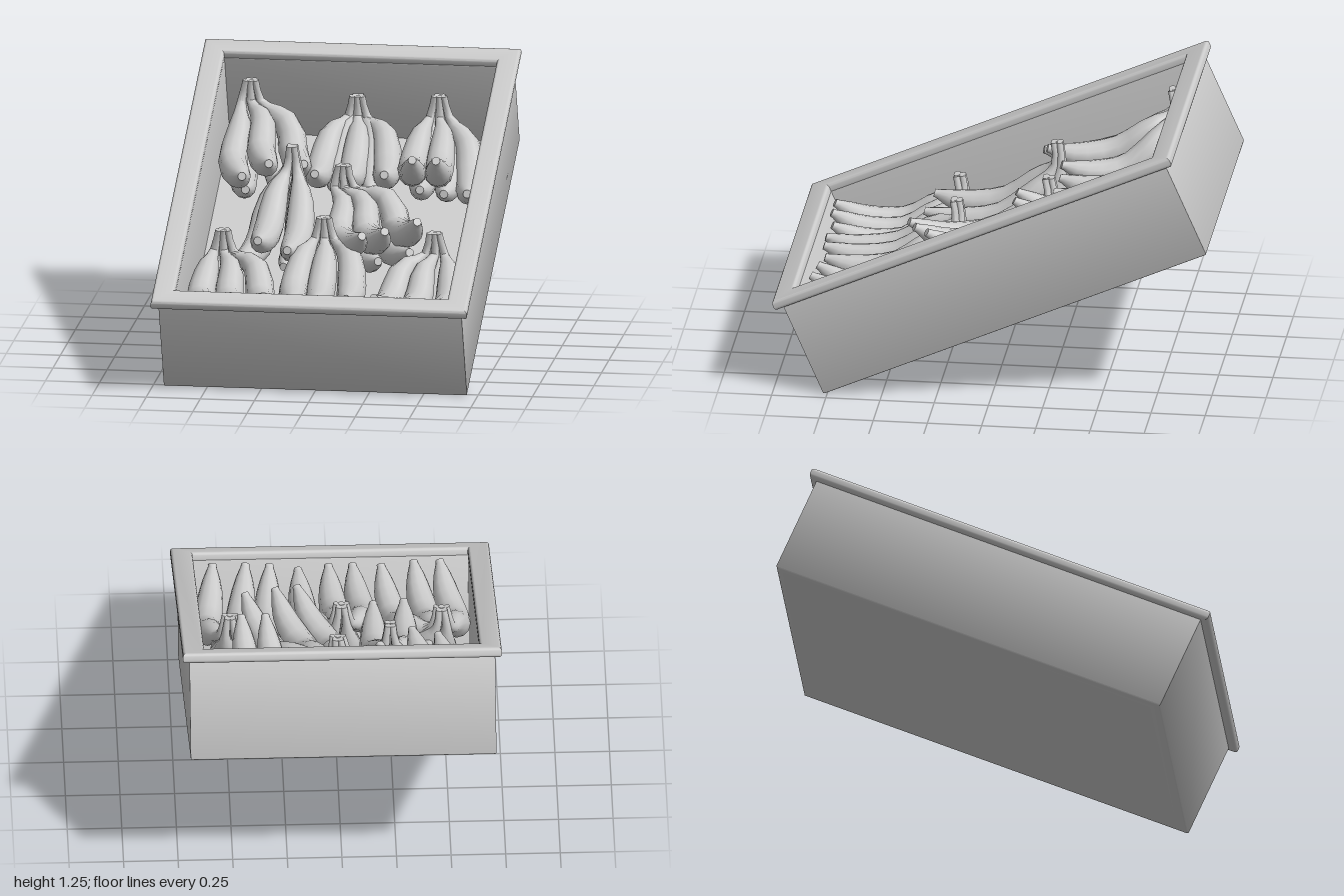
import * as THREE from 'three';
import { toCreasedNormals } from 'three/addons/utils/BufferGeometryUtils.js';

const grey = new THREE.MeshStandardMaterial({ color: 0xcccccc });
const { lerp } = THREE.MathUtils;

// Rectangular ring with softened edges, standing from y0 to y1
function frame(name, halfX, halfZ, y0, y1, bevel) {
  const rect = (Cls, x, z) => new Cls([[-x, -z], [x, -z], [x, z], [-x, z]].map(p => new THREE.Vector2(...p)));
  const shape = rect(THREE.Shape, halfX, halfZ);
  shape.holes.push(rect(THREE.Path, 0.63, 0.9));
  const geo = new THREE.ExtrudeGeometry(shape, {
    depth: y1 - y0 - 2 * bevel, bevelThickness: bevel, bevelSize: bevel, bevelOffset: -bevel, bevelSegments: 4,
  });
  geo.rotateX(-Math.PI / 2).translate(0, y0 + bevel, 0);
  const mesh = new THREE.Mesh(toCreasedNormals(geo, 0.6), grey);
  mesh.name = name;
  return mesh;
}

// [position along the fruit, radius], from cut stem to blunt tip
const PROFILE = [
  [0, 0], [0, 0.015], [0.06, 0.016], [0.13, 0.02], [0.19, 0.03], [0.26, 0.046], [0.34, 0.058],
  [0.44, 0.065], [0.55, 0.067], [0.66, 0.066], [0.76, 0.061], [0.84, 0.053], [0.91, 0.04],
  [0.96, 0.027], [0.98, 0.021], [1, 0.019], [1, 0],
];
const SIDES = 12;

// Loft of round sections along a curve that runs mostly in the y-z plane
function bananaGeometry(curve) {
  const pos = [], index = [], X = new THREE.Vector3(1, 0, 0);
  PROFILE.forEach(([t, r], i) => {
    const c = curve.getPointAt(t), T = curve.getTangentAt(t);
    const N = new THREE.Vector3().crossVectors(T, X).normalize();
    const B = new THREE.Vector3().crossVectors(T, N);
    for (let j = 0; j < SIDES; j++) {
      const a = j / SIDES * Math.PI * 2;
      const p = c.clone().addScaledVector(N, r * Math.cos(a)).addScaledVector(B, r * Math.sin(a));
      pos.push(p.x, p.y, p.z);
      if (i === 0) continue;
      const k = (j + 1) % SIDES, lo = (i - 1) * SIDES, hi = i * SIDES;
      if (i > 1) index.push(lo + j, lo + k, hi + j);
      if (i < PROFILE.length - 1) index.push(lo + k, hi + k, hi + j);
    }
  });
  const geo = new THREE.BufferGeometry();
  geo.setAttribute('position', new THREE.Float32BufferAttribute(pos, 3));
  geo.setIndex(index);
  return toCreasedNormals(geo, 0.9);
}

// One fruit: drops from the stem, lies on its belly and curls up to the tip
function banana(stem, tip, fan, low) {
  const [sx, sy, sz] = stem, [tx, ty, tz] = tip;
  const mid = (sx + fan * 0.14 + tx) / 2;
  const belly = low ? 0.125 : Math.max(0.15, Math.min(sy, ty) - 0.15);
  const back = low ? -0.025 : 0;
  const at = (x, y, t) => new THREE.Vector3(x, y, lerp(sz + back, tz, t));
  const curve = new THREE.CatmullRomCurve3([
    at(sx + fan * 0.022, sy - (low ? 0.01 : 0), 0),
    at(sx + fan * 0.045, sy - 0.1, 0.05),
    at(lerp(sx, mid, 0.8), lerp(belly, sy, 0.25), 0.23),
    at(mid, belly, 0.53),
    at(lerp(mid, tx, 0.6), lerp(belly, ty, 0.4), 0.82),
    at(tx, ty, 1),
  ]);
  const mesh = new THREE.Mesh(bananaGeometry(curve), grey);
  mesh.name = low ? 'lowerBanana' : 'upperBanana';
  return mesh;
}

// Stem point, three upper tips, two lower tips, in crate space
const BUNCHES = [
  { stem: [-0.5, 0.42, -0.81], up: [[-0.46, 0.37, -0.15], [-0.34, 0.41, -0.2], [-0.19, 0.36, -0.27]], low: [[-0.46, 0.24, -0.22], [-0.3, 0.2, -0.3]] },
  { stem: [-0.02, 0.31, -0.86], up: [[-0.14, 0.32, -0.25], [0.02, 0.32, -0.24], [0.18, 0.32, -0.26]], low: [[-0.06, 0.18, -0.32], [0.1, 0.18, -0.32]] },
  { stem: [0.37, 0.37, -0.8], up: [[0.33, 0.48, -0.17], [0.44, 0.48, -0.17], [0.57, 0.28, -0.19]], low: [[0.34, 0.24, -0.26], [0.45, 0.22, -0.26]] },
  { stem: [-0.24, 0.46, -0.27], up: [[-0.32, 0.4, 0.37], [-0.18, 0.38, 0.41]], low: [[-0.43, 0.22, 0.31], [-0.22, 0.2, 0.3]] },
  { stem: [0, 0.39, -0.23], up: [[0.17, 0.47, 0.4], [0.27, 0.47, 0.36], [0.41, 0.47, 0.28]], low: [[0.22, 0.25, 0.3], [0.36, 0.27, 0.25]] },
  { stem: [-0.49, 0.39, 0.285], up: [[-0.5, 0.46, 0.87], [-0.38, 0.46, 0.87], [-0.23, 0.45, 0.85]], low: [[-0.44, 0.23, 0.8], [-0.31, 0.23, 0.79]] },
  { stem: [-0.03, 0.43, 0.22], up: [[-0.1, 0.45, 0.865], [0.01, 0.45, 0.86], [0.15, 0.44, 0.84]], low: [[-0.05, 0.22, 0.79], [0.08, 0.22, 0.79]] },
  { stem: [0.48, 0.38, 0.245], up: [[0.28, 0.46, 0.85], [0.39, 0.46, 0.87], [0.54, 0.46, 0.875]], low: [[0.33, 0.23, 0.79], [0.46, 0.23, 0.8]] },
];

export function createModel() {
  const model = new THREE.Group();
  model.name = 'bananaCrate';

  // Everything is built upright, then tipped toward the front
  const crate = new THREE.Group();
  crate.name = 'tiltedCrate';
  crate.position.set(0, 0.3875, -0.117);
  crate.rotation.x = THREE.MathUtils.degToRad(23.7);
  model.add(crate);

  // Box walls, overhanging rim and floor
  crate.add(frame('walls', 0.7, 0.964, 0, 0.48, 0.01));
  crate.add(frame('rim', 0.73, 1.0, 0.465, 0.512, 0.015));
  const floor = new THREE.Mesh(new THREE.BoxGeometry(1.32, 0.045, 1.86), grey);
  floor.position.y = 0.0225;
  floor.name = 'floor';
  crate.add(floor);

  // Fruit
  for (const { stem, up, low } of BUNCHES) {
    const bunch = new THREE.Group();
    bunch.name = 'bananaBunch';
    up.forEach((tip, i) => bunch.add(banana(stem, tip, i - (up.length - 1) / 2, false)));
    low.forEach((tip, i) => bunch.add(banana(stem, tip, i - 0.5, true)));
    crate.add(bunch);
  }
  return model;
}
